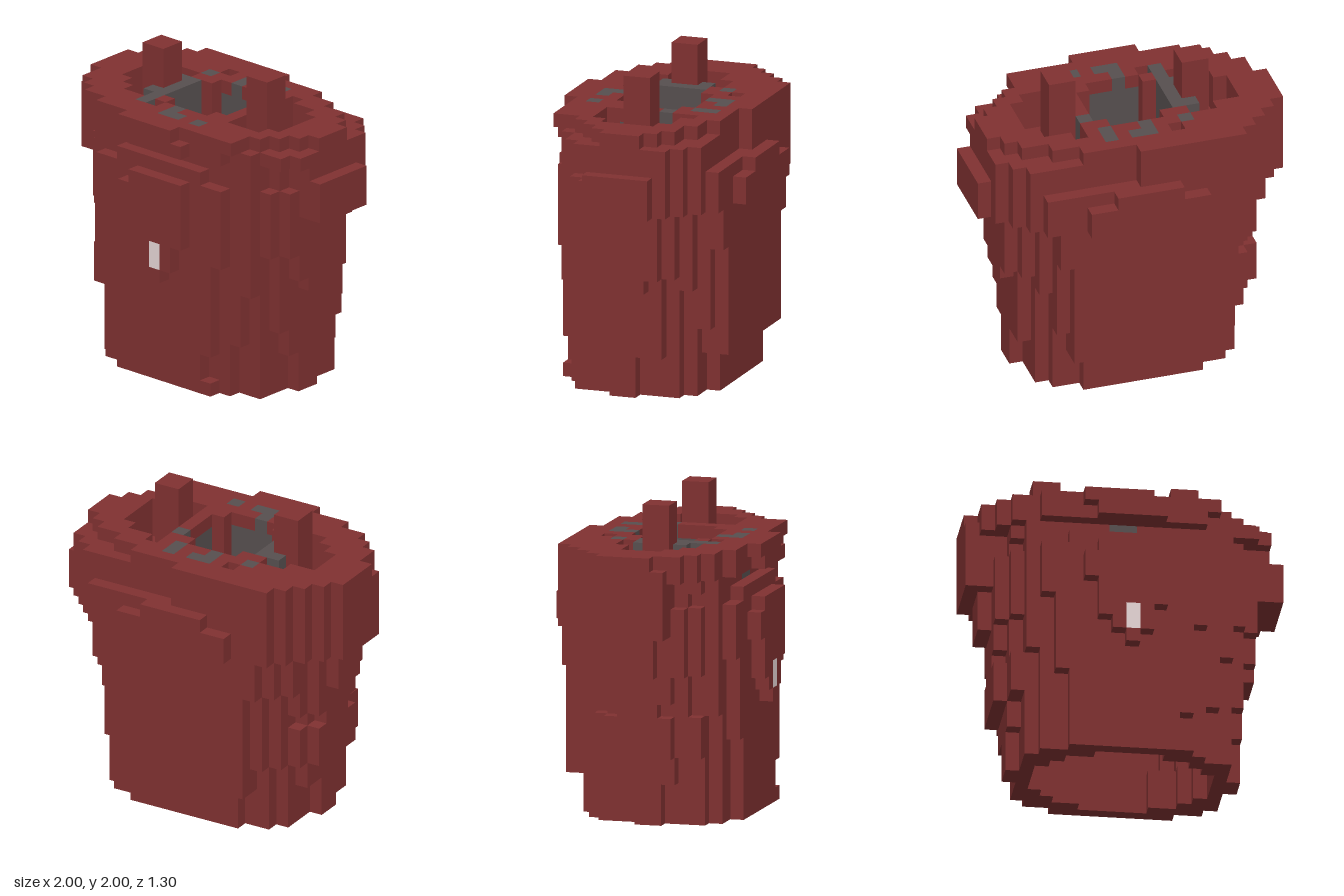
import * as THREE from 'three';

// Block grid: 23 wide, 23 high, 15 deep
const NX = 23, NY = 23, NZ = 15, U = 2 / 23;

// Body cross-section ellipses: from row, centre x, centre z, half width, half depth, first and last depth slice
const BANDS = [
  [0, 0, 0.043, 0.71, 0.6, 2, 13],
  [3, 0, 0, 0.74, 0.65, 1, 13],
  [5, -0.02, 0, 0.8, 0.65, 1, 13],
  [8, 0, 0, 0.8, 0.65, 1, 13],
  [9, 0, 0, 0.82, 0.65, 1, 13],
  [11, -0.02, 0, 0.88, 0.65, 1, 13],
  [14, 0, 0, 1.0, 0.655, 1, 13],
  [17, -0.02, 0, 0.975, 0.655, 1, 12],
  [18, -0.02, 0, 0.975, 0.655, 1, 13],
];

// Flat panels and uneven rim top, by depth slice: from row, first and last column
const PANELS = {
  1: [[3, 6, 16], [11, 5, 17], [14, 4, 18], [17, 4, 11]],
  2: [[19, 3, 15]],
  3: [[19, 2, 17]],
  4: [[19, 1, 19]],
  5: [[19, 0, 20]],
  9: [[19, 1, 20]],
  10: [[19, 1, 19]],
  11: [[19, 2, 18]],
  12: [[0, 5, 16], [4, 5, 17], [8, 4, 18], [18, 3, 18], [19, 3, 17]],
  13: [[0, 7, 15], [1, 7, 14], [3, 7, 15], [6, 6, 15], [10, 6, 16], [12, 5, 16], [16, 7, 14], [18, 5, 16], [19, 5, 17]],
};

// Boxes of blocks: part, x range, y range, z range (inclusive)
const BOXES = [
  ['frontPocket', 11, 11, 8, 8, 14, 14],
  ['frontPocket', 10, 12, 9, 9, 14, 14],
  ['frontPocket', 9, 12, 10, 10, 14, 14],
  ['frontPocket', 9, 13, 11, 15, 14, 14],
  ['frontPocket', 8, 8, 13, 14, 14, 14],
  ['clasp', 11, 11, 9, 10, 14, 14],
  ['backPatch', 7, 15, 14, 15, 0, 0],
  ['backPatch', 9, 13, 16, 16, 0, 0],
  ['rim', 9, 13, 18, 18, 14, 14],
  ['rim', 8, 12, 19, 19, 14, 14],
  ['rightHandle', 5, 6, 15, 22, 7, 8],
  ['leftHandle', 15, 16, 15, 22, 7, 8],
  // lining showing in the front groove and along the rim
  ['lining', 10, 11, 17, 17, 12, 12],
  ['lining', 7, 7, 19, 19, 6, 11],
  ['lining', 6, 6, 17, 19, 6, 6],
  ['lining', 6, 6, 17, 19, 9, 9],
  ['lining', 14, 14, 19, 19, 6, 6],
  ['lining', 10, 11, 19, 19, 3, 3],
  ['lining', 10, 10, 19, 19, 4, 4],
  ['lining', 13, 13, 19, 19, 3, 4],
  ['lining', 7, 7, 19, 19, 4, 4],
  ['lining', 10, 10, 19, 19, 11, 11],
  ['lining', 10, 11, 19, 19, 12, 12],
  ['lining', 13, 13, 19, 19, 12, 12],
];

const key = (i, j, k) => (j * NZ + k) * NX + i;
const inEllipse = (x, z, a, b) => (x / a) ** 2 + (z / b) ** 2 <= 1;
const atRow = (list, j) => list.filter((entry) => entry[0] <= j).pop();
const inHole = (i, k) =>
  k >= 5 && k <= 10 && (k === 5 || k === 10 ? i >= 9 && i <= 12 : i >= 8 && i <= 13);

// Sunken pockets beside the handles and small notches in the rim
function inRecess(i, j, k) {
  if (j === 19 && i === 8 && (k === 3 || k === 11)) return true;
  if (j < 17 || (i > 6 && i < 15) || i > 18) return false;
  return inEllipse((i - 11) * U, (k - 7) * U - 0.03, 0.76, 0.33);
}

function buildCells() {
  const cells = new Map();
  for (let j = 0; j < 20; j++) {
    const [, cx, cz, a, b, k0, k1] = atRow(BANDS, j);
    for (let k = k0; k <= k1; k++) {
      const panel = PANELS[k] && atRow(PANELS[k], j);
      // the shoulder flange narrows towards the front, the body below it towards the back
      let half = a;
      if (j >= 14 && j <= 17 && k >= 10) half = j < 16 ? 0.88 : 0.8;
      if (j >= 3 && j < 14 && k <= 4) half = a - 0.06;
      for (let i = 0; i < NX; i++) {
        const x = (i - 11) * U - cx, z = (k - 7) * U - cz;
        if (panel ? i < panel[1] || i > panel[2] : !inEllipse(x, z, half, b)) continue;
        // central opening, hollow lower body and sunken top
        if (inHole(i, k) || inRecess(i, j, k)) continue;
        if (j < 14 && inEllipse(x, z, a - 0.16, b - 0.16)) continue;
        const corner = (i === 8 || i === 13) && (k === 5 || k === 10);
        const besideHole = inHole(i - 1, k) || inHole(i + 1, k) || inHole(i, k - 1) || inHole(i, k + 1);
        const lined = besideHole && !corner && j >= 14 && j < 19;
        cells.set(key(i, j, k), lined ? 'lining' : j >= 18 ? 'rim' : 'body');
      }
    }
  }
  for (const [part, i0, i1, j0, j1, k0, k1] of BOXES)
    for (let i = i0; i <= i1; i++)
      for (let j = j0; j <= j1; j++)
        for (let k = k0; k <= k1; k++) cells.set(key(i, j, k), part);
  return cells;
}

// Outer faces of all blocks belonging to one part
function partGeometry(cells, part) {
  const pos = [], nor = [];
  const solid = (c) =>
    c[0] >= 0 && c[0] < NX && c[1] >= 0 && c[1] < NY && c[2] >= 0 && c[2] < NZ && cells.has(key(...c));
  for (const [id, name] of cells) {
    if (name !== part) continue;
    const c = [id % NX, Math.floor(id / (NX * NZ)), Math.floor(id / NX) % NZ];
    for (let axis = 0; axis < 3; axis++) {
      for (const s of [-1, 1]) {
        const next = [...c];
        next[axis] += s;
        if (solid(next)) continue;
        const u = (axis + 1) % 3, v = (axis + 2) % 3;
        const corner = (du, dv) => {
          const p = [...c];
          p[axis] += s > 0 ? 1 : 0;
          p[u] += du;
          p[v] += dv;
          return [p[0] * U - 1, p[1] * U, (p[2] - NZ / 2) * U];
        };
        const q = [corner(0, 0), corner(1, 0), corner(1, 1), corner(0, 1)];
        if (s < 0) q.reverse();
        const n = [0, 0, 0];
        n[axis] = s;
        for (const m of [0, 1, 2, 0, 2, 3]) {
          pos.push(...q[m]);
          nor.push(...n);
        }
      }
    }
  }
  const g = new THREE.BufferGeometry();
  g.setAttribute('position', new THREE.Float32BufferAttribute(pos, 3));
  g.setAttribute('normal', new THREE.Float32BufferAttribute(nor, 3));
  return g;
}

export function createModel() {
  const material = (name, color) => {
    const m = new THREE.MeshStandardMaterial({ color });
    m.name = name;
    return m;
  };
  const leather = material('red leather', 0x803131);
  const grey = material('grey lining', 0x564f4f);
  const pale = material('pale clasp', 0xeadada);

  const group = new THREE.Group();
  group.name = 'bag';
  const cells = buildCells();
  const parts = {
    body: leather, rim: leather, frontPocket: leather, backPatch: leather,
    leftHandle: leather, rightHandle: leather, lining: grey, clasp: pale,
  };
  for (const [name, mat] of Object.entries(parts)) {
    const mesh = new THREE.Mesh(partGeometry(cells, name), mat);
    mesh.name = name;
    group.add(mesh);
  }
  return group;
}
